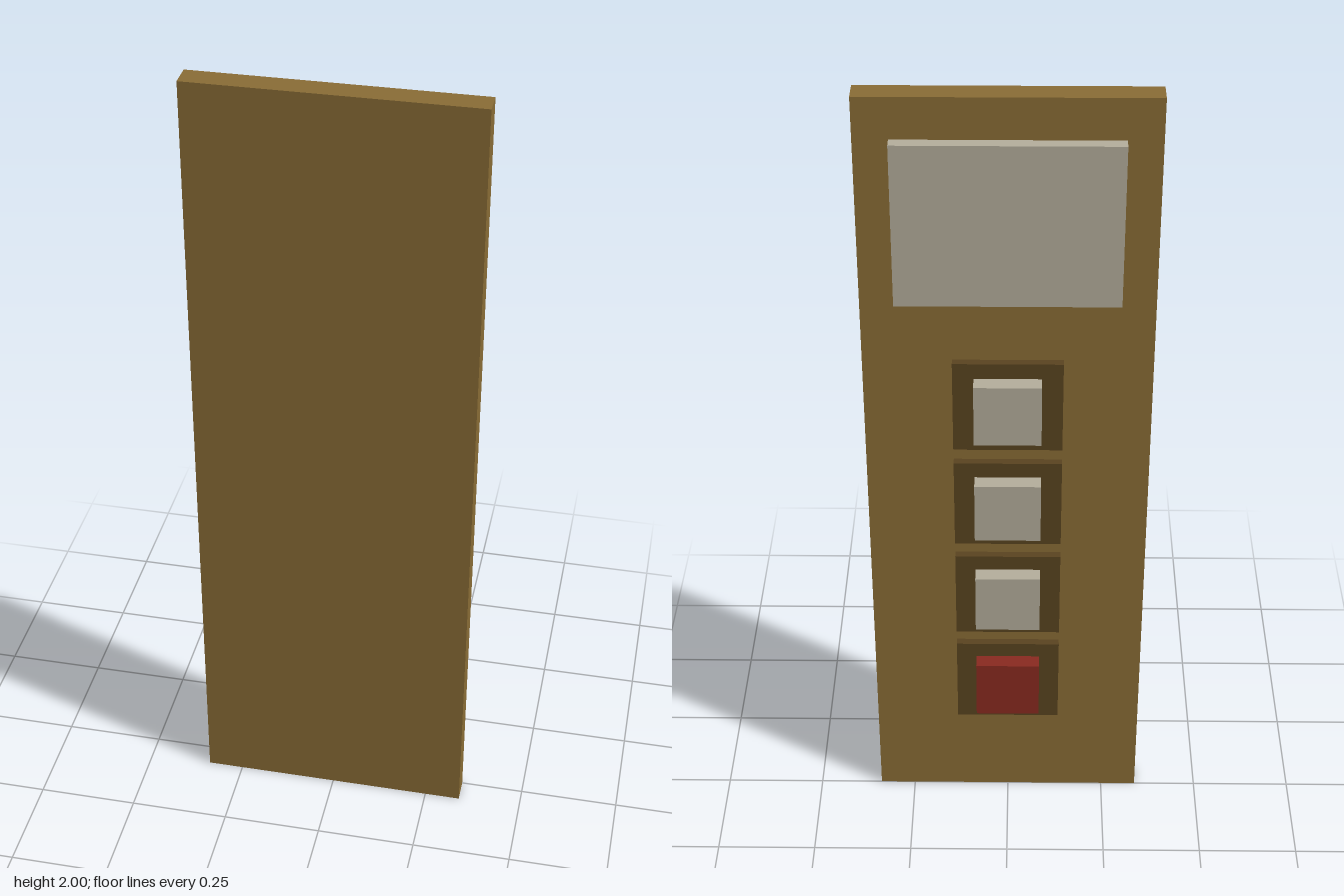
import * as THREE from 'three';

const material = (name, color) => {
  const m = new THREE.MeshStandardMaterial({ color });
  m.name = name;
  return m;
};

export function createModel() {
  const brass = material('brass', 0x8a6d36);
  const darkBrass = material('dark brass', 0x5a4420);
  const ivory = material('ivory', 0xb5ae9c);
  const red = material('red', 0x8a2a20);

  const group = new THREE.Group();
  group.name = 'buttonPanel';

  // Box centred on x, rising from y and reaching from z = back to z = front
  const addBox = (name, mat, width, height, y, back, front) => {
    const mesh = new THREE.Mesh(new THREE.BoxGeometry(width, height, front - back), mat);
    mesh.name = name;
    mesh.position.set(0, y + height / 2, (back + front) / 2);
    group.add(mesh);
  };

  // Wall plate and display
  addBox('plate', brass, 0.68, 2, 0, 0, 0.06);
  addBox('display', ivory, 0.52, 0.4, 1.5, -0.03, 0);

  // Column of framed buttons, the lowest one red
  for (let i = 0; i < 4; i++) {
    const y = 0.26 + i * 0.28;
    addBox(`buttonFrame${i + 1}`, darkBrass, 0.26, 0.24, y, -0.02, 0);
    addBox(`button${i + 1}`, i === 0 ? red : ivory, 0.16, 0.16, y + 0.04, -0.06, -0.02);
  }
  return group;
}
